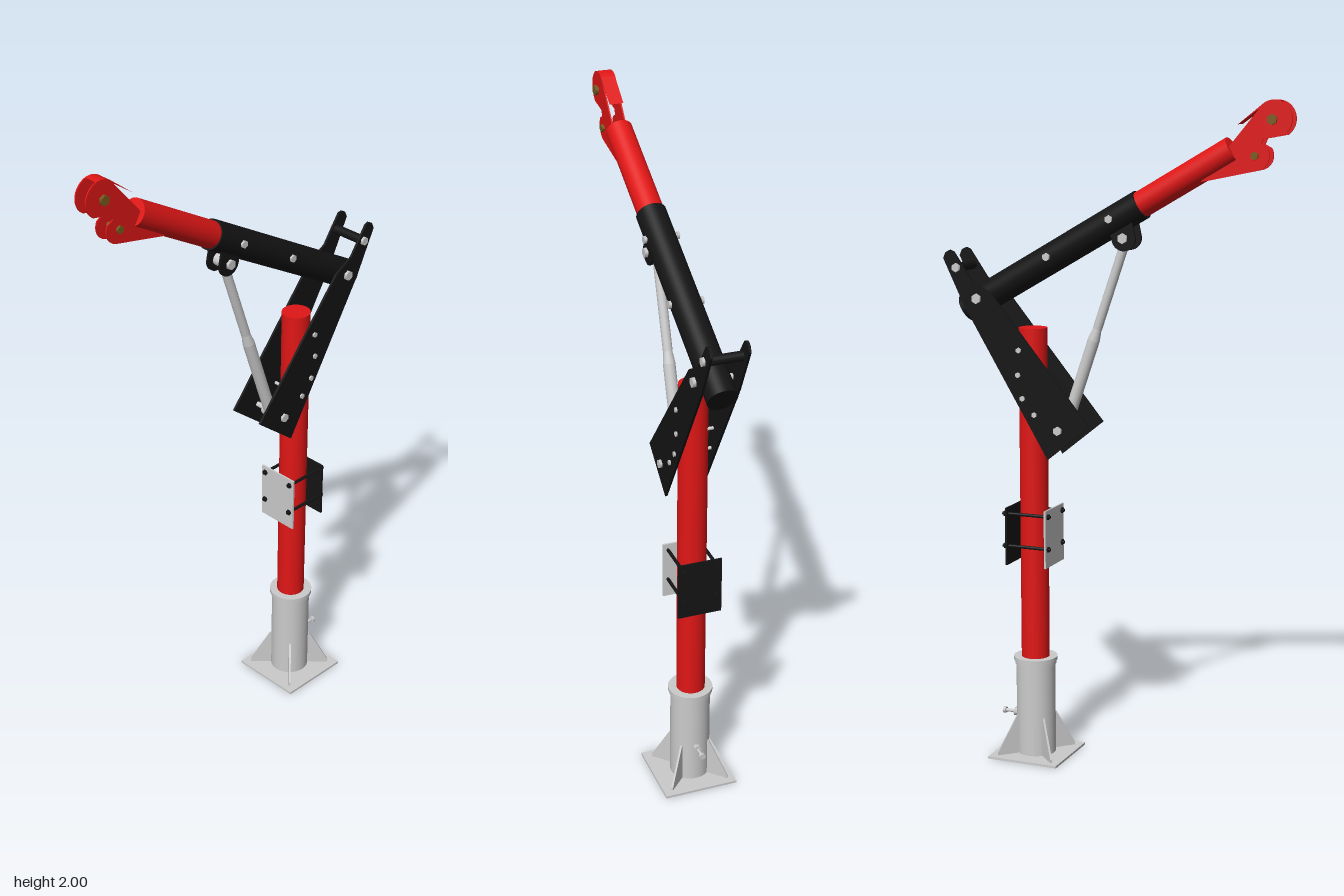
import * as THREE from 'three';

const RED = 0xe01616, BLACK = 0x141414, GREY = 0xcccccc, BRASS = 0x7a5a20;
const ZC = -0.005; // centre plane of mast and arm
const MX = 0.264; // mast axis

const mats = {};
const mat = (color) => (mats[color] ??= new THREE.MeshStandardMaterial({ color, side: THREE.DoubleSide }));
const V = (x, y, z = ZC) => new THREE.Vector3(x, y, z);

export function createModel() {
  const model = new THREE.Group();

  const add = (name, geometry, color, parent = model) => {
    const mesh = new THREE.Mesh(geometry, mat(color));
    mesh.name = name;
    parent.add(mesh);
    return mesh;
  };

  // Cylinder between two points
  const rod = (name, a, b, r, color, sides = 32, r2 = r) => {
    const dir = b.clone().sub(a);
    const mesh = add(name, new THREE.CylinderGeometry(r2, r, dir.length(), sides), color);
    mesh.position.copy(a).add(b).multiplyScalar(0.5);
    mesh.quaternion.setFromUnitVectors(new THREE.Vector3(0, 1, 0), dir.normalize());
    return mesh;
  };

  // Flat profile in the xy plane, thickened along z around the given z
  const plate = (name, shape, z, thick, color) => {
    const geo = new THREE.ExtrudeGeometry(shape, { depth: thick, bevelEnabled: false, curveSegments: 20 });
    const mesh = add(name, geo, color);
    mesh.position.z = z - thick / 2;
    return mesh;
  };

  // Bolt across the model: shank, hex head and nut
  const bolt = (name, x, y, half, r, color = GREY) => {
    rod(name + 'Shank', V(x, y, ZC - half - r), V(x, y, ZC + half), r, color, 16);
    rod(name + 'Head', V(x, y, ZC + half), V(x, y, ZC + half + r), r * 1.7, color, 6);
    rod(name + 'Nut', V(x, y, ZC - half - r), V(x, y, ZC - half), r * 1.7, color, 6);
  };

  // Base plate, sleeve and collar
  add('basePlate', new THREE.BoxGeometry(0.228, 0.007, 0.228), GREY).position.set(MX, 0.0035, 0);
  rod('sleeve', V(MX, 0.004, -0.003), V(MX, 0.3, -0.003), 0.06, GREY, 40);
  rod('lowerCollar', V(MX, 0.29, -0.003), V(MX, 0.302, -0.003), 0.063, GREY, 40);
  rod('upperCollar', V(MX, 0.302, -0.003), V(MX, 0.314, -0.003), 0.067, GREY, 40);

  // Diagonal gussets
  const gussetShape = new THREE.Shape([
    [0.05, 0.006], [0.127, 0.006], [0.127, 0.016], [0.064, 0.128], [0.05, 0.128],
  ].map(([x, y]) => new THREE.Vector2(x, y)));
  for (let i = 0; i < 4; i++) {
    const holder = new THREE.Group();
    holder.name = 'gusset';
    holder.position.set(MX, 0, -0.003);
    holder.rotation.y = Math.PI / 4 + (i * Math.PI) / 2;
    const geo = new THREE.ExtrudeGeometry(gussetShape, { depth: 0.006, bevelEnabled: false });
    geo.translate(0, 0, -0.003);
    add('gussetPlate', geo, GREY, holder);
    model.add(holder);
  }

  // Clamping screw with cross handle
  rod('screwNut', V(0.318, 0.124, -0.003), V(0.337, 0.124, -0.003), 0.013, GREY, 6);
  rod('screw', V(0.335, 0.124, -0.003), V(0.375, 0.124, -0.003), 0.005, GREY, 12);
  rod('screwHead', V(0.366, 0.124, -0.003), V(0.375, 0.124, -0.003), 0.01, GREY, 12);

  // Mast
  rod('mast', V(MX, 0.3, -0.004), V(MX, 1.33, -0.004), 0.043, RED, 40);

  // Winch bracket: two plates joined by four tie rods
  for (const [x, color] of [[0.2, GREY], [0.328, BLACK]]) {
    add('bracketPlate', new THREE.BoxGeometry(0.006, 0.177, 0.134), color).position.set(x, 0.698, ZC);
  }
  for (const y of [0.667, 0.767]) {
    for (const s of [-1, 1]) {
      const z = ZC + s * 0.052;
      rod('tieRod', V(0.188, y, z), V(0.345, y, z), 0.005, BLACK, 12);
      for (const x of [0.192, 0.333]) rod('tieRodNut', V(x, y, z), V(x + 0.007, y, z), 0.009, BLACK, 6);
    }
  }

  // Telescopic arm
  rod('outerArm', V(0.478, 1.379), V(-0.083, 1.702), 0.044, BLACK, 40);
  rod('innerArm', V(0.0, 1.654), V(-0.358, 1.861), 0.039, RED, 40);
  bolt('armBolt', 0.0, 1.66, 0.046, 0.007);
  bolt('armBolt', 0.198, 1.545, 0.044, 0.007);

  // Hinge side plates with a narrow upper tail
  const hinge = new THREE.Shape([
    [0.06, 1.05], [0.193, 0.943], [0.464, 1.395], [0.53, 1.532], [0.522, 1.55], [0.508, 1.557],
    [0.495, 1.552], [0.437, 1.468], [0.374, 1.432],
  ].map(([x, y]) => new THREE.Vector2(x, y)));
  for (const s of [-1, 1]) plate('hingePlate', hinge, ZC + s * 0.054, 0.007, BLACK);
  rod('tailSpacer', V(0.486, 1.505, ZC - 0.052), V(0.486, 1.505, ZC + 0.052), 0.014, BLACK, 20);
  bolt('tailBolt', 0.486, 1.505, 0.058, 0.008);
  bolt('pivotBolt', 0.42, 1.415, 0.058, 0.009);
  bolt('strutBolt', 0.159, 1.033, 0.058, 0.008);
  for (const [x, y] of [[0.284, 1.267], [0.287, 1.193], [0.273, 1.123], [0.235, 1.076]]) {
    bolt('mastBolt', x, y, 0.058, 0.005);
  }

  // Strut lugs under the arm
  const lug = new THREE.Shape();
  lug.moveTo(0.03, 1.66);
  lug.lineTo(-0.06, 1.67);
  lug.absarc(-0.037, 1.605, 0.037, Math.PI, Math.PI * 2, false);
  lug.closePath();
  for (const s of [-1, 1]) plate('strutLug', lug, ZC + s * 0.024, 0.007, BLACK);
  bolt('lugBolt', -0.037, 1.605, 0.03, 0.009);

  // Jack strut from hinge plates to the lugs
  const low = V(0.159, 1.033), high = V(-0.037, 1.605);
  const at = (t) => low.clone().lerp(high, t);
  rod('strutBody', at(0), at(0.47), 0.018, GREY, 24);
  rod('strutNeck', at(0.47), at(0.55), 0.018, GREY, 24, 0.011);
  rod('strutRod', at(0.53), at(1), 0.014, GREY, 24);
  for (const p of [low, high]) {
    rod('strutEye', V(p.x, p.y, ZC - 0.018), V(p.x, p.y, ZC + 0.018), 0.019, GREY, 24);
  }

  // Tip cheeks with two rounded lobes
  const D = Math.PI / 180, tx = -0.482, ty = 1.946, tr = 0.053;
  const cheek = new THREE.Shape();
  cheek.moveTo(-0.235, 1.84);
  cheek.absarc(tx, ty, tr, 56 * D, 235 * D, false);
  cheek.lineTo(-0.453, 1.892);
  cheek.lineTo(-0.446, 1.876);
  cheek.absarc(-0.43, 1.845, 0.041, 150 * D, 262 * D, false);
  cheek.lineTo(-0.27, 1.77);
  cheek.closePath();
  for (const s of [-1, 1]) plate('tipCheek', cheek, ZC + s * 0.02, 0.004, RED);

  // Strip joining the cheeks along the top
  const strip = new THREE.Shape();
  strip.moveTo(-0.375, 1.935);
  strip.absarc(tx, ty, tr, 56 * D, 107 * D, false);
  strip.absarc(tx, ty, tr - 0.005, 107 * D, 56 * D, true);
  strip.lineTo(-0.378, 1.931);
  strip.closePath();
  plate('tipStrip', strip, ZC, 0.042, RED);
  bolt('tipBolt', -0.48, 1.945, 0.026, 0.009, BRASS);
  bolt('tipBolt', -0.43, 1.845, 0.025, 0.007, BRASS);

  return model;
}
